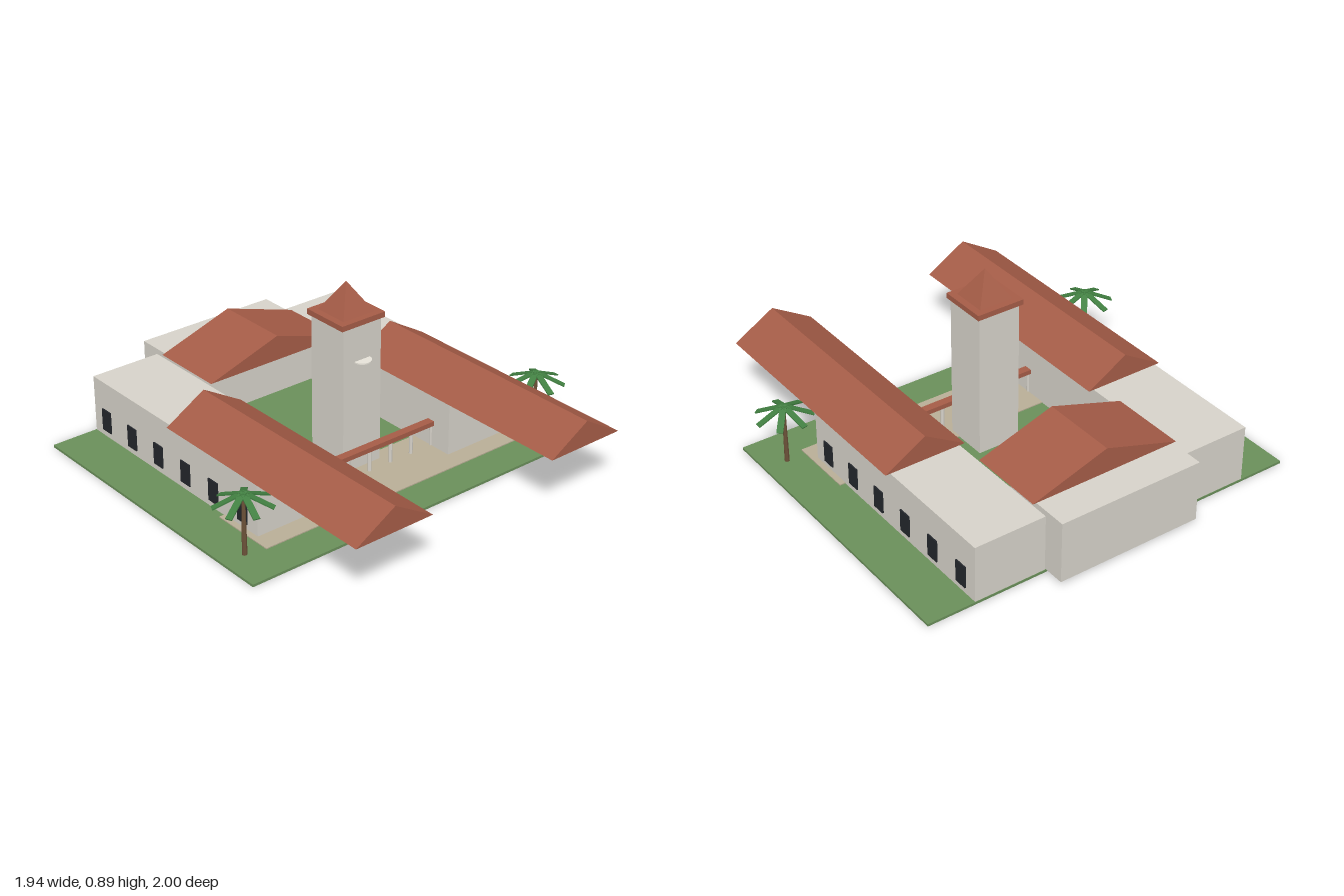
import * as THREE from 'three';

const mat = (color, extra = {}) => new THREE.MeshStandardMaterial({ color, flatShading: true, ...extra });

export function createModel() {
  const model = new THREE.Group();
  const site = new THREE.Group();
  site.name = 'missionSite';
  site.position.x = -0.005;
  model.add(site);

  const wall = mat(0xd6d2c9), tile = mat(0xa55c47), grass = mat(0x6a8f5a);
  const paving = mat(0xb9ae96), glass = mat(0x23262b), bark = mat(0x6b5138);
  const leaf = mat(0x417f41), face = mat(0xe6e2d8);

  const add = (parent, name, geometry, material, x = 0, y = 0, z = 0) => {
    const mesh = new THREE.Mesh(geometry, material);
    mesh.name = name;
    mesh.position.set(x, y, z);
    parent.add(mesh);
    return mesh;
  };
  // Box given by its limits on each axis
  const block = (name, material, [x0, x1], [y0, y1], [z0, z1]) =>
    add(site, name, new THREE.BoxGeometry(x1 - x0, y1 - y0, z1 - z0), material,
      (x0 + x1) / 2, (y0 + y1) / 2, (z0 + z1) / 2);
  // Closed gable prism with its ridge along z
  const gable = (name, x, halfWidth, y0, height, z0, z1) => {
    const shape = new THREE.Shape([
      new THREE.Vector2(-halfWidth, 0), new THREE.Vector2(halfWidth, 0), new THREE.Vector2(0, height)]);
    const geometry = new THREE.ExtrudeGeometry(shape, { depth: z1 - z0, bevelEnabled: false });
    add(site, name, geometry, tile, x, y0, z0);
  };

  // Ground and paved court
  block('lawn', grass, [-0.955, 0.955], [0, 0.012], [-0.895, 0.603]);
  block('pavedCourt', paving, [-0.75, 0.75], [0.01, 0.017], [0.1, 0.428]);

  // Side wings with long overhanging roofs and outer windows
  for (const side of [-1, 1]) {
    const name = side > 0 ? 'left' : 'right';
    add(site, name + 'Wing', new THREE.BoxGeometry(0.355, 0.278, 1.225), wall, side * 0.544, 0.151, -0.28);
    gable(name + 'WingRoof', side * 0.543, 0.203, 0.29, 0.12, -0.277, 1);
    for (let i = 0; i < 6; i++) {
      add(site, name + 'Window', new THREE.BoxGeometry(0.012, 0.108, 0.066), glass,
        side * 0.722, 0.097, 0.23 - i * 0.205);
    }
  }

  // Rear hall
  block('rearHall', wall, [-0.365, 0.365], [0.016, 0.316], [-1, -0.647]);
  gable('rearHallRoof', 0, 0.382, 0.316, 0.123, -0.825, -0.444);

  // Bell tower with tiled cap and pyramid
  block('tower', wall, [-0.107, 0.107], [0.01, 0.728], [-0.06, 0.158]);
  block('towerEave', tile, [-0.121, 0.121], [0.724, 0.75], [-0.073, 0.168]);
  const spire = new THREE.ConeGeometry(0.087 * Math.SQRT2, 0.14, 4);
  spire.rotateY(Math.PI / 4);
  add(site, 'towerSpire', spire, tile, 0, 0.82, 0.048);
  add(site, 'towerDisc', new THREE.CylinderGeometry(0.044, 0.044, 0.006, 24), face, 0, 0.55, 0.158);

  // Arcade across the court
  block('arcadeBeam', tile, [-0.37, 0.37], [0.124, 0.147], [0.193, 0.234]);
  for (let i = 0; i < 7; i++) {
    add(site, 'arcadePost', new THREE.CylinderGeometry(0.009, 0.009, 0.114, 8), wall,
      -0.37 + i * 0.1233, 0.067, 0.213);
  }

  // Palm trees with seven drooping fronds
  for (const side of [-1, 1]) {
    const palm = new THREE.Group();
    palm.name = side > 0 ? 'leftPalm' : 'rightPalm';
    palm.position.set(side * 0.842, 0, 0.4);
    site.add(palm);
    add(palm, 'trunk', new THREE.CylinderGeometry(0.008, 0.012, 0.292, 8), bark, 0, 0.156, 0);
    add(palm, 'crown', new THREE.CylinderGeometry(0.017, 0.02, 0.018, 8), leaf, 0, 0.302, 0);
    for (let i = 0; i < 7; i++) {
      const frond = new THREE.BoxGeometry(0.144, 0.006, 0.03);
      frond.translate(0.072, 0, 0);
      frond.rotateZ(-0.4);
      frond.rotateY((i * Math.PI * 2) / 7);
      add(palm, 'frond', frond, leaf, 0, 0.31, 0);
    }
  }

  return model;
}
